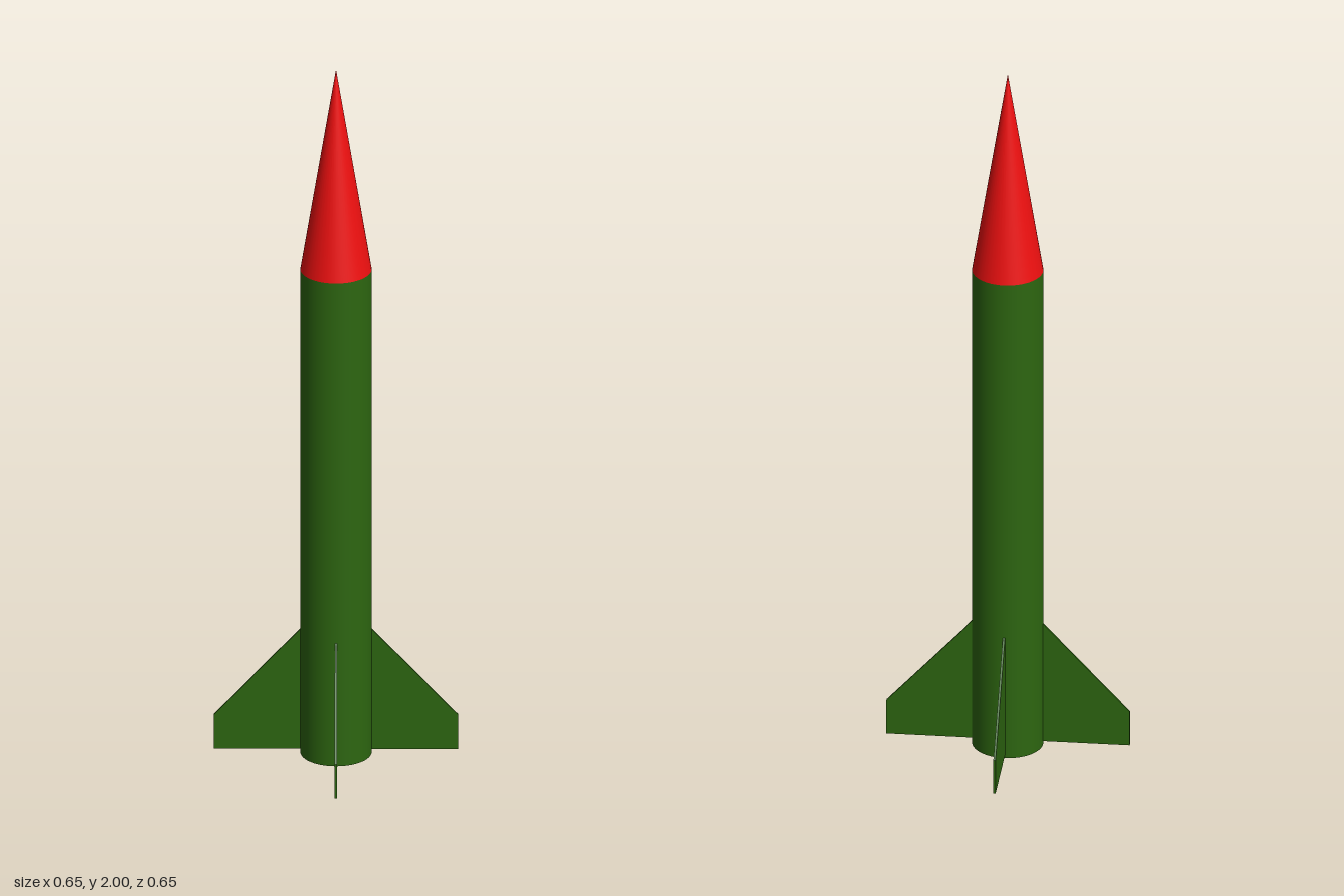
import * as THREE from 'three';

const RADIUS = 0.095;
const BODY_TOP = 1.415;
const HEIGHT = 2;
const FIN_THICKNESS = 0.006;
const SIDES = 48;

export function createModel() {
  const rocket = new THREE.Group();
  rocket.name = 'rocket';
  const green = new THREE.MeshStandardMaterial({ color: 0x2d6610 });
  const red = new THREE.MeshStandardMaterial({ color: 0xf01010 });

  const add = (name, geometry, material) => {
    const mesh = new THREE.Mesh(geometry, material);
    mesh.name = name;
    rocket.add(mesh);
    return mesh;
  };

  // Body tube, closed at both ends
  const body = add('body', new THREE.CylinderGeometry(RADIUS, RADIUS, BODY_TOP, SIDES), green);
  body.position.y = BODY_TOP / 2;

  // Pointed nose
  const noseHeight = HEIGHT - BODY_TOP;
  const nose = add('noseCone', new THREE.ConeGeometry(RADIUS, noseHeight, SIDES), red);
  nose.position.y = BODY_TOP + noseHeight / 2;

  // Four thin swept fins, rooted slightly inside the tube
  const root = RADIUS - 0.005;
  const outline = new THREE.Shape([
    new THREE.Vector2(root, 0.01),
    new THREE.Vector2(0.327, 0.01),
    new THREE.Vector2(0.327, 0.11),
    new THREE.Vector2(RADIUS, 0.36),
    new THREE.Vector2(root, 0.36),
  ]);
  const finGeometry = new THREE.ExtrudeGeometry(outline, { depth: FIN_THICKNESS, bevelEnabled: false });
  finGeometry.translate(0, 0, -FIN_THICKNESS / 2);
  ['leftFin', 'backFin', 'rightFin', 'frontFin'].forEach((name, i) => {
    add(name, finGeometry, green).rotation.y = (i * Math.PI) / 2;
  });

  return rocket;
}
